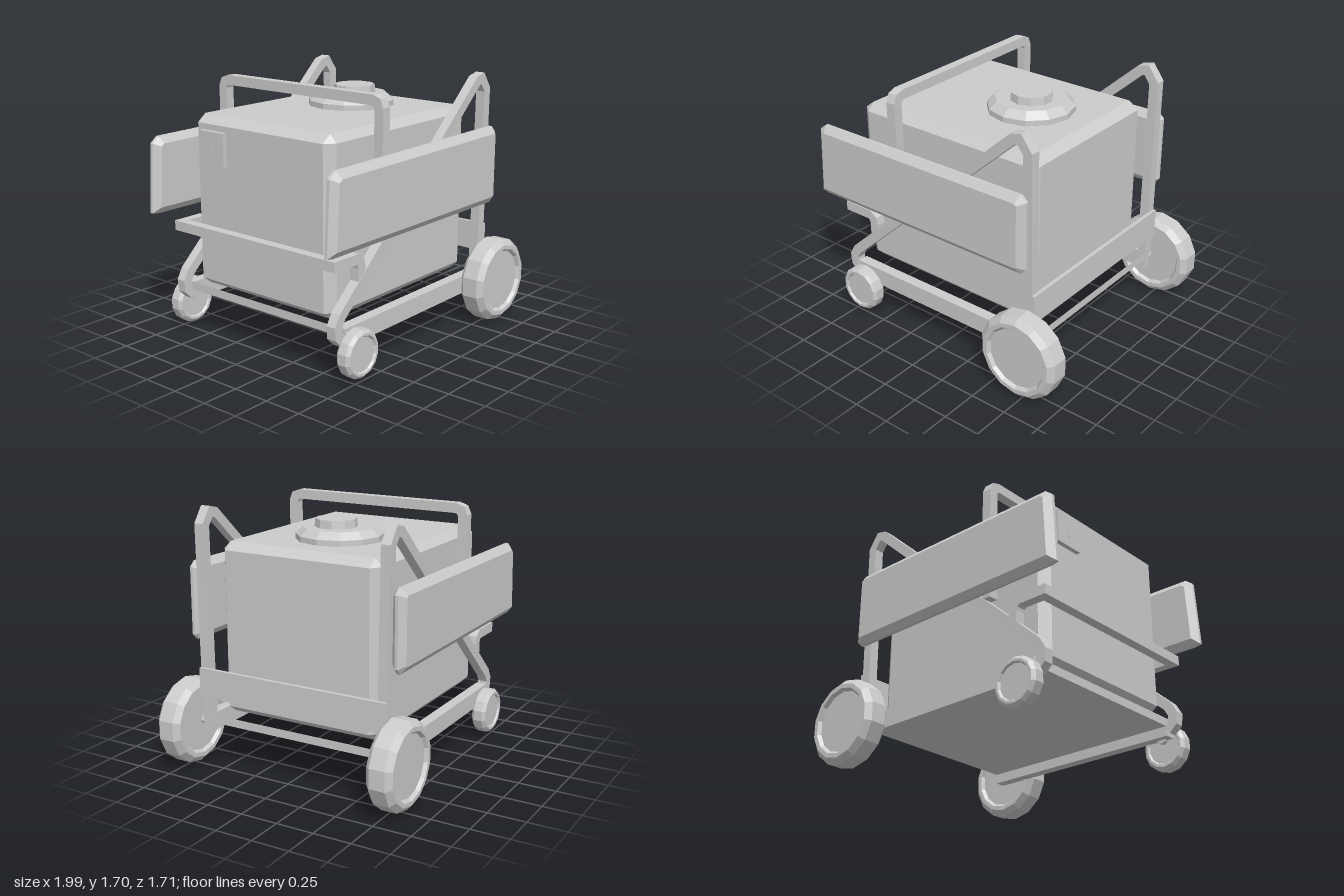
import * as THREE from 'three';
import { ConvexGeometry } from 'three/addons/geometries/ConvexGeometry.js';

const grey = new THREE.MeshStandardMaterial({ color: 0xcccccc, flatShading: true });
const TUBE = 0.065;

function add(parent, name, geometry, x = 0, y = 0, z = 0) {
  const mesh = new THREE.Mesh(geometry, grey);
  mesh.name = name;
  mesh.position.set(x, y, z);
  parent.add(mesh);
  return mesh;
}

// Box given by its limits on each axis
function block(parent, name, [x0, x1], [y0, y1], [z0, z1]) {
  return add(parent, name, new THREE.BoxGeometry(x1 - x0, y1 - y0, z1 - z0),
    (x0 + x1) / 2, (y0 + y1) / 2, (z0 + z1) / 2);
}

// Box with every edge cut, as the hull of its six inset faces
function chamferedBox(w, h, d, cx, cy, cz) {
  const points = [];
  for (const x of [-1, 1]) for (const y of [-1, 1]) for (const z of [-1, 1]) {
    const X = w / 2, Y = h / 2, Z = d / 2;
    points.push(new THREE.Vector3(x * X, y * (Y - cy), z * (Z - cz)),
      new THREE.Vector3(x * (X - cx), y * Y, z * (Z - cz)),
      new THREE.Vector3(x * (X - cx), y * (Y - cy), z * Z));
  }
  return new ConvexGeometry(points);
}

// Square tube along a flat path, with mitred corners, centred on its plane
function squareTube(path, width = TUBE) {
  const pts = path.map(([x, y]) => new THREE.Vector2(x, y));
  const left = [], right = [];
  pts.forEach((p, i) => {
    const a = p.clone().sub(pts[Math.max(i - 1, 0)]).normalize();
    const b = pts[Math.min(i + 1, pts.length - 1)].clone().sub(p).normalize();
    if (i === 0) a.copy(b);
    if (i === pts.length - 1) b.copy(a);
    const n = new THREE.Vector2(-a.y - b.y, a.x + b.x).normalize();
    const reach = width / 2 / (n.x * -a.y + n.y * a.x);
    left.push(p.clone().addScaledVector(n, reach));
    right.unshift(p.clone().addScaledVector(n, -reach));
  });
  const geometry = new THREE.ExtrudeGeometry(new THREE.Shape([...left, ...right]),
    { depth: width, bevelEnabled: false });
  return geometry.translate(0, 0, -width / 2);
}

// Round tyre with a dished hub on both faces, axis along z
function wheelGeometry(r, width, sides) {
  const h = width / 2;
  const half = [[0, 0.75 * h], [0.71 * r, 0.75 * h], [0.77 * r, h], [0.87 * r, h], [r, 0.6 * h]];
  const profile = [
    ...half.map(([x, y]) => new THREE.Vector2(x, -y)),
    ...half.reverse().map(([x, y]) => new THREE.Vector2(x, y)),
  ];
  return new THREE.LatheGeometry(profile, sides).rotateX(Math.PI / 2);
}

export function createModel() {
  const model = new THREE.Group();
  model.name = 'wheeledGenerator';

  // Main housing
  add(model, 'housing', chamferedBox(1.41, 1.135, 1.14, 0.065, 0.05, 0.05), -0.065, 0.912, 0);

  // Filler collar and cap
  const profile = [[0.285, 1.47], [0.285, 1.515], [0.235, 1.56], [0.115, 1.56]]
    .map(([x, y]) => new THREE.Vector2(x, y));
  add(model, 'fillerCollar', new THREE.LatheGeometry(profile, 12), 0.152, 0, -0.03);
  add(model, 'fillerCap', new THREE.CylinderGeometry(0.134, 0.14, 0.055, 10), 0.167, 1.585, -0.012);

  // Switch box on the end of the housing
  block(model, 'switchBox', [-0.8, -0.76], [1.17, 1.39], [-0.48, -0.27]);
  block(model, 'switch', [-0.803, -0.79], [1.235, 1.325], [-0.385, -0.365]);

  const panelShape = new THREE.Shape([
    [-0.95, 0.832], [0.675, 0.828], [0.71, 0.865], [0.71, 1.31],
    [0.67, 1.347], [-0.925, 1.335], [-0.975, 1.295], [-1, 0.84],
  ].map(([x, y]) => new THREE.Vector2(x, y)));

  for (const side of [1, -1]) {
    const half = new THREE.Group();
    half.name = side > 0 ? 'frontSide' : 'backSide';
    model.add(half);

    // Upright and diagonal brace, leaning slightly outwards towards the top
    const brace = squareTube([
      [0.68, 0.22], [0.68, 1.585], [0.622, 1.664], [0.572, 1.652],
      [-0.785, 0.42], [-0.82, 0.36], [-0.815, 0.3], [-0.77, 0.255],
    ]);
    const p = brace.attributes.position;
    for (let i = 0; i < p.count; i++) {
      p.setZ(i, p.getZ(i) + side * 0.013 * Math.max(0, p.getY(i) - 0.3));
    }
    brace.computeVertexNormals();
    add(half, 'uprightAndBrace', brace, 0, 0, side * 0.648);

    // Base rail
    block(half, 'baseRail', [-0.77, 0.7], [0.22, 0.34], [side * 0.65 - 0.036, side * 0.65 + 0.036]);

    // Bent arm carrying the end bar
    add(half, 'endBarArm', squareTube([
      [-0.855, 0.74], [-0.645, 0.74], [-0.612, 0.715], [-0.605, 0.68], [-0.605, 0.58],
    ]), 0, 0, side * 0.648);

    // Side panel with bevelled rim
    const panel = new THREE.ExtrudeGeometry(panelShape, {
      depth: 0.02, bevelEnabled: true, bevelSegments: 1,
      bevelThickness: 0.036, bevelSize: 0.045, bevelOffset: -0.045,
    }).translate(0, 0, -0.01);
    add(half, 'sidePanel', panel, 0, 0, side * 0.737);

    // Wheels and stub axles
    add(half, 'largeWheel', wheelGeometry(0.285, 0.175, 14), 0.713, 0.285, side * 0.768);
    add(half, 'smallWheel', wheelGeometry(0.155, 0.1, 14), -0.695, 0.178, side * 0.725);
    for (const [x, y] of [[0.68, 0.285], [-0.695, 0.23]]) {
      add(half, 'axle', new THREE.CylinderGeometry(0.035, 0.035, 0.06, 8).rotateX(Math.PI / 2),
        x, y, side * 0.69);
    }
  }

  // Lifting hoop over the housing
  const hoop = squareTube([
    [0.648, 0.84], [0.652, 1.6], [0.637, 1.635], [0.6, 1.648],
    [-0.6, 1.648], [-0.637, 1.635], [-0.652, 1.6], [-0.648, 0.84],
  ]).rotateY(-Math.PI / 2);
  add(model, 'liftingHoop', hoop, -0.388, 0, 0);

  // Floor tray between the rails, open at the top
  const tray = new THREE.BoxGeometry(1.48, 0.055, 1.24);
  const top = tray.groups[2];
  tray.setIndex([...tray.index.array].filter((_, i) => i < top.start || i >= top.start + top.count));
  tray.clearGroups();
  add(model, 'floorTray', tray, -0.03, 0.3125, 0);

  // Bar and plate joining both sides of the frame
  block(model, 'endBar', [-0.855, -0.79], [0.7075, 0.7725], [-0.62, 0.62]);
  block(model, 'endPlate', [0.708, 0.733], [0.46, 0.655], [-0.685, 0.685]);

  return model;
}
